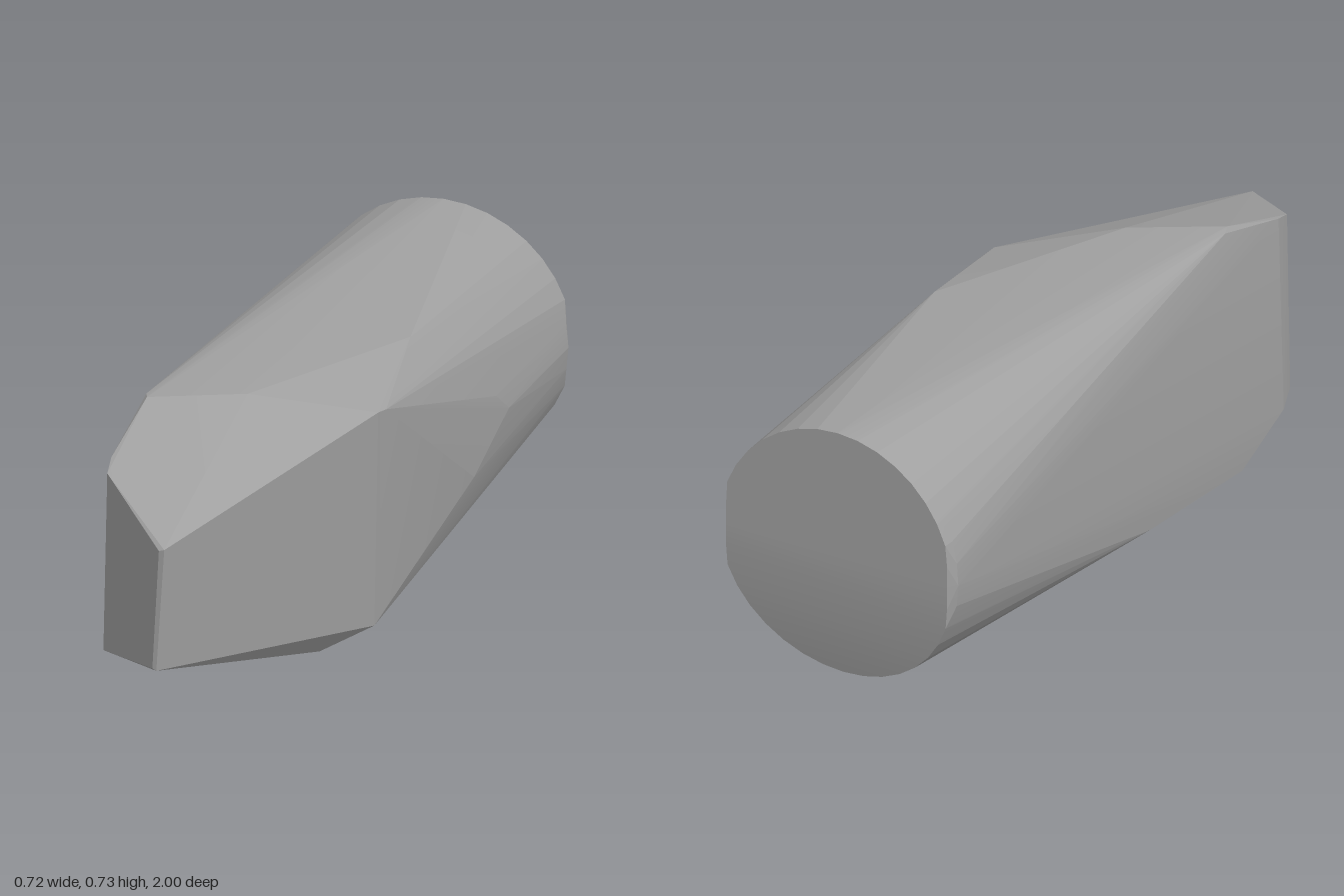
import * as THREE from 'three';
import { ConvexGeometry } from 'three/addons/geometries/ConvexGeometry.js';
import { toCreasedNormals } from 'three/addons/utils/BufferGeometryUtils.js';

export function createModel() {
  const group = new THREE.Group();
  const grey = new THREE.MeshStandardMaterial({ color: 0xa0a0a0 });
  grey.name = 'plain grey';
  const points = [];

  // Round butt end: a slightly domed cap with a narrow chamfered rim
  const sides = 36;
  for (let i = 0; i < sides; i++) {
    const a = (i / sides) * Math.PI * 2;
    const c = Math.cos(a), s = Math.sin(a);
    const x = -0.008 + 0.352 * c, y = 0.368 + 0.35 * s;
    const z = -1 + 0.012 * (1 - c) + (s < 0 ? 0.035 * s * s : 0.008 * s);
    points.push(new THREE.Vector3(THREE.MathUtils.clamp(x, -0.345, 0.325), y, z));
    points.push(new THREE.Vector3(x, y, z + 0.03));
  }

  // Corners of the faceted body and chisel tip
  const corners = [
    // tip edge
    [0.07, 0.54, 1], [0.055, 0.535, 1], [0.048, 0.2, 1], [0.037, 0.205, 1],
    // slanted front face, far side
    [-0.175, 0.632, 0.8], [-0.19, 0.65, 0.74], [-0.185, 0.138, 0.8], [-0.22, 0.118, 0.72],
    // upper shoulder
    [-0.19, 0.727, 0.51], [-0.204, 0.723, 0.48], [0.03, 0.718, 0.37],
    [0.32, 0.648, 0.2], [0.325, 0.642, 0.16], [0.25, 0.7, -0.17],
    // lower shoulder
    [-0.23, 0.03, 0.52], [-0.265, 0.07, 0.05], [-0.03, 0.014, 0.4],
    [0.2, 0.002, 0.3], [0.245, 0.003, 0.1], [0.292, 0.034, 0.16],
    // bulge on the flank
    [0.355, 0.43, -0.48], [0.36, 0.37, -0.55], [0.345, 0.25, -0.36],
  ];
  for (const p of corners) points.push(new THREE.Vector3(...p));

  const body = new THREE.Mesh(toCreasedNormals(new ConvexGeometry(points), 0.16), grey);
  body.name = 'chiselBody';
  group.add(body);
  return group;
}
